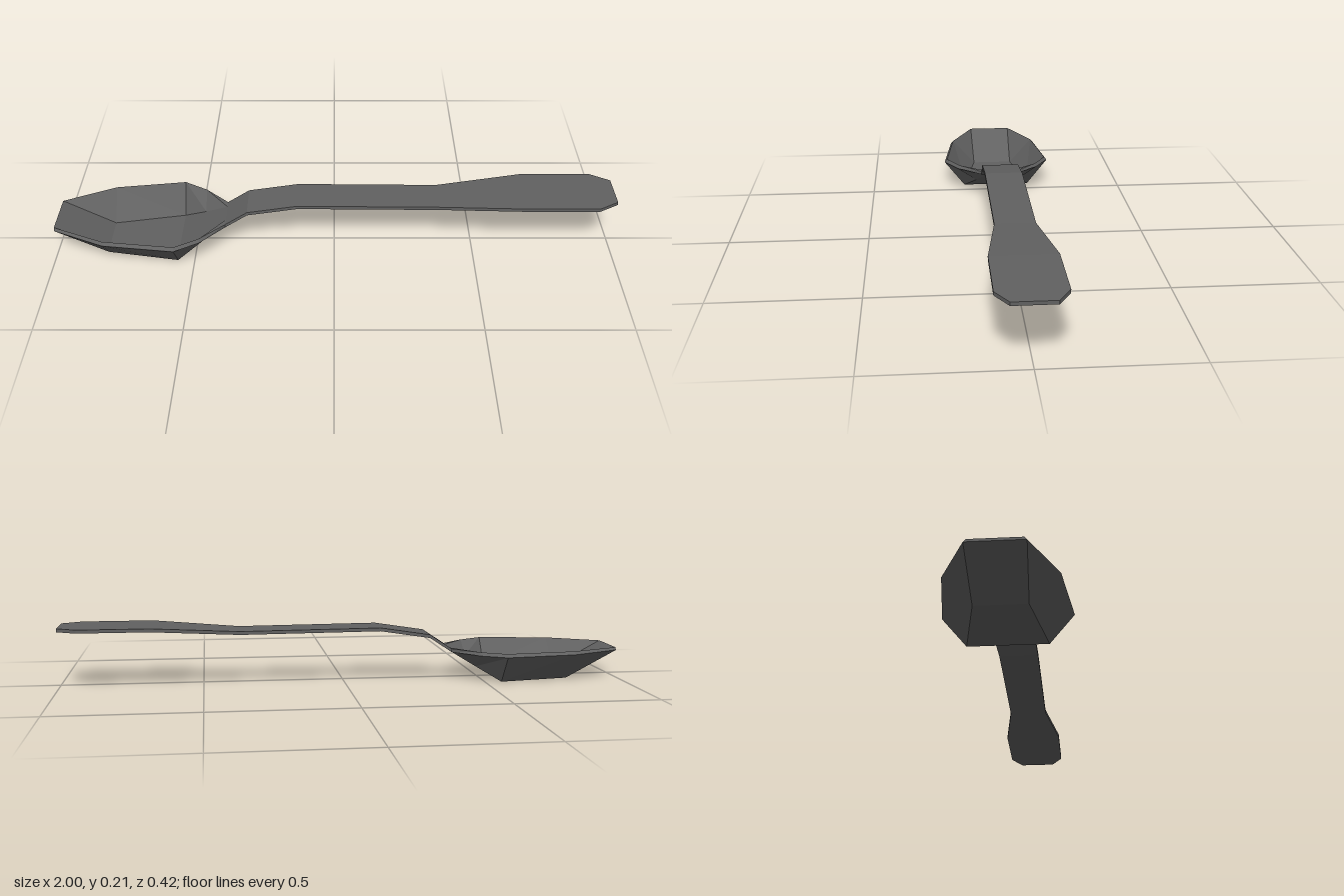
import * as THREE from 'three';

// Joins eight-point rings (four below, four above) along x into a faceted shell.
function loft(rings, capStart, capEnd) {
  const pos = [];
  const tri = (...pts) => pts.forEach((p) => pos.push(...p));
  for (let i = 0; i < rings.length - 1; i++) {
    for (let k = 0; k < 8; k++) {
      const n = (k + 1) % 8;
      const a = rings[i][k], b = rings[i][n];
      const A = rings[i + 1][k], B = rings[i + 1][n];
      // Diagonals mirror each other across the centre line
      if (k % 4 === 2) { tri(a, A, b); tri(A, B, b); }
      else { tri(a, A, B); tri(a, B, b); }
    }
  }
  const cap = (r, flip) => {
    for (let k = 0; k < 3; k++) {
      const q = [r[k], r[k + 1], r[6 - k], r[7 - k]];
      if (flip) q.reverse();
      tri(q[0], q[1], q[2]);
      tri(q[0], q[2], q[3]);
    }
  };
  if (capStart) cap(rings[0], false);
  if (capEnd) cap(rings[rings.length - 1], true);
  const geo = new THREE.BufferGeometry();
  geo.setAttribute('position', new THREE.Float32BufferAttribute(pos, 3));
  geo.computeVertexNormals();
  return geo;
}

// Ring from rim and floor half-widths and heights; inset narrows the upper skin.
function ring(x, rimZ, rimY, floorZ, floorY, inset = 0, t = 0.012) {
  const r = rimZ - inset, f = floorZ - inset * 0.5;
  return [
    [x, rimY, -rimZ], [x, floorY, -floorZ], [x, floorY, floorZ], [x, rimY, rimZ],
    [x, rimY + t, r], [x, floorY + t, f], [x, floorY + t, -f], [x, rimY + t, -r],
  ];
}

export function createModel() {
  const group = new THREE.Group();
  group.name = 'spoon';
  const metal = new THREE.MeshStandardMaterial({ color: 0x616161 });
  metal.name = 'dark grey metal';
  metal.flatShading = true;

  // Bowl, from the tip to the neck
  const bowlRings = [
    ring(-1.0, 0.09, 0.1, 0.043, 0.1, 0.008, 0.009),
    ring(-0.815, 0.177, 0.1, 0.083, 0, 0.01, 0.011),
    ring(-0.56, 0.21, 0.1, 0.13, 0, 0.01),
    ring(-0.475, 0.16, 0.1, 0.085, 0.05, 0.01),
    ring(-0.39, 0.069, 0.101, 0.04, 0.101),
  ];
  const bowl = new THREE.Mesh(loft(bowlRings, true, false), metal);
  bowl.name = 'bowl';
  group.add(bowl);

  // Handle stations: x, underside height, half-width
  const stations = [
    [-0.39, 0.101, 0.069], [-0.31, 0.154, 0.069], [-0.13, 0.182, 0.069],
    [0.37, 0.178, 0.069], [0.68, 0.199, 0.109], [0.93, 0.199, 0.109], [1.0, 0.199, 0.068],
  ];
  const handleRings = stations.map(([x, y, w]) => ring(x, w, y, w * 0.58, y));
  const handle = new THREE.Mesh(loft(handleRings, false, true), metal);
  handle.name = 'handle';
  group.add(handle);

  return group;
}
